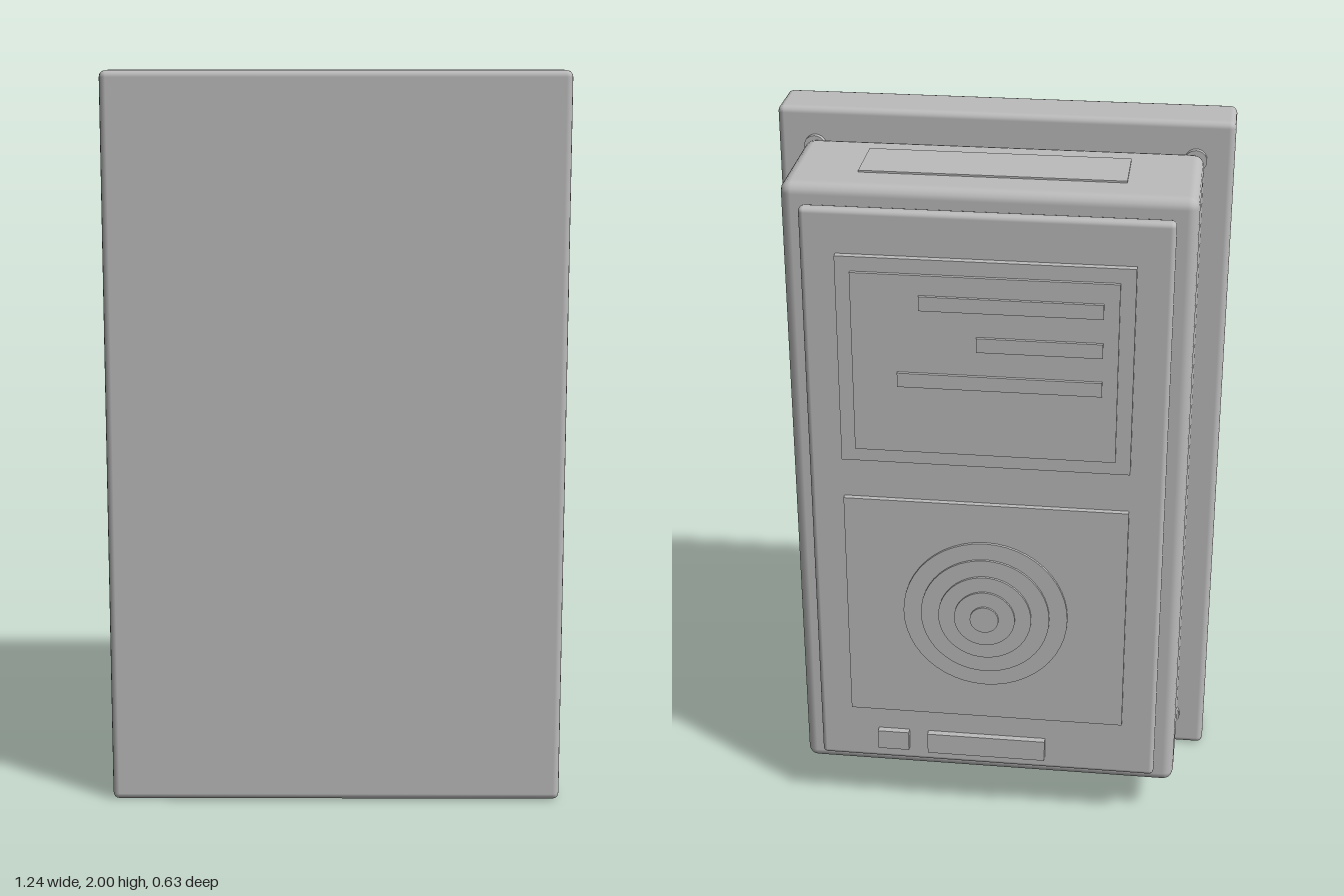
import * as THREE from 'three';
import { RoundedBoxGeometry } from 'three/addons/geometries/RoundedBoxGeometry.js';

export function createModel() {
  const model = new THREE.Group();
  const grey = new THREE.MeshStandardMaterial({ color: 0xbcbcbc });
  grey.name = 'casing grey';

  const add = (name, geometry, x, y, z) => {
    const mesh = new THREE.Mesh(geometry, grey);
    mesh.name = name;
    mesh.position.set(x, y, z);
    model.add(mesh);
    return mesh;
  };

  // Box given by its extents; a radius softens the edges
  const block = (name, [x0, x1], [y0, y1], [z0, z1], radius = 0) => {
    const size = [x1 - x0, y1 - y0, z1 - z0];
    const geometry = radius
      ? new RoundedBoxGeometry(...size, 2, radius)
      : new THREE.BoxGeometry(...size);
    return add(name, geometry, (x0 + x1) / 2, (y0 + y1) / 2, (z0 + z1) / 2);
  };

  // Disc whose axis runs along z
  const disc = (name, radius, x, y, z0, z1, sides = 48) => {
    const geometry = new THREE.CylinderGeometry(radius, radius, z1 - z0, sides);
    geometry.rotateX(Math.PI / 2);
    return add(name, geometry, x, y, (z0 + z1) / 2);
  };

  // Mounting plate, spacer and casing
  block('mountingPlate', [-0.62, 0.62], [0, 2], [0.153, 0.313], 0.018);
  block('spacer', [-0.49, 0.49], [0.17, 1.87], [0.12, 0.16]);
  block('casing', [-0.54, 0.54], [0.12, 1.92], [-0.224, 0.142], 0.03);
  block('topInset', [-0.35, 0.35], [1.9, 1.925], [-0.12, 0.055]);

  // Screws at the four corners of the casing
  for (const x of [-0.517, 0.517]) {
    for (const y of [0.11, 1.895]) disc('screw', 0.03, x, y, 0.138, 0.16, 20);
  }

  // Face panel
  block('facePanel', [-0.485, 0.485], [0.17, 1.87], [-0.264, -0.228], 0.014);
  block('facePanelSeat', [-0.46, 0.46], [0.2, 1.84], [-0.235, -0.215]);

  // Display: frame, screen and raised lines
  block('displayFrame', [-0.39, 0.39], [1.16, 1.75], [-0.283, -0.26]);
  block('displayScreen', [-0.35, 0.35], [1.2, 1.71], [-0.293, -0.28]);
  [[1.635, 0.17], [1.525, 0.02], [1.415, 0.23]].forEach(([y, end]) =>
    block('displayLine', [-0.31, end], [y - 0.02, y + 0.02], [-0.302, -0.29]));

  // Reader pad with stepped discs
  block('readerPad', [-0.39, 0.39], [0.35, 1.04], [-0.28, -0.26]);
  [[0.23, -0.288], [0.18, -0.295], [0.13, -0.302], [0.085, -0.308], [0.04, -0.314]]
    .forEach(([radius, z]) => disc('readerDisc', radius, 0, 0.695, z, -0.275));

  // Indicator and long button below the pad
  block('indicator', [0.225, 0.315], [0.215, 0.275], [-0.283, -0.26]);
  block('longButton', [-0.17, 0.17], [0.21, 0.275], [-0.283, -0.26]);

  return model;
}
